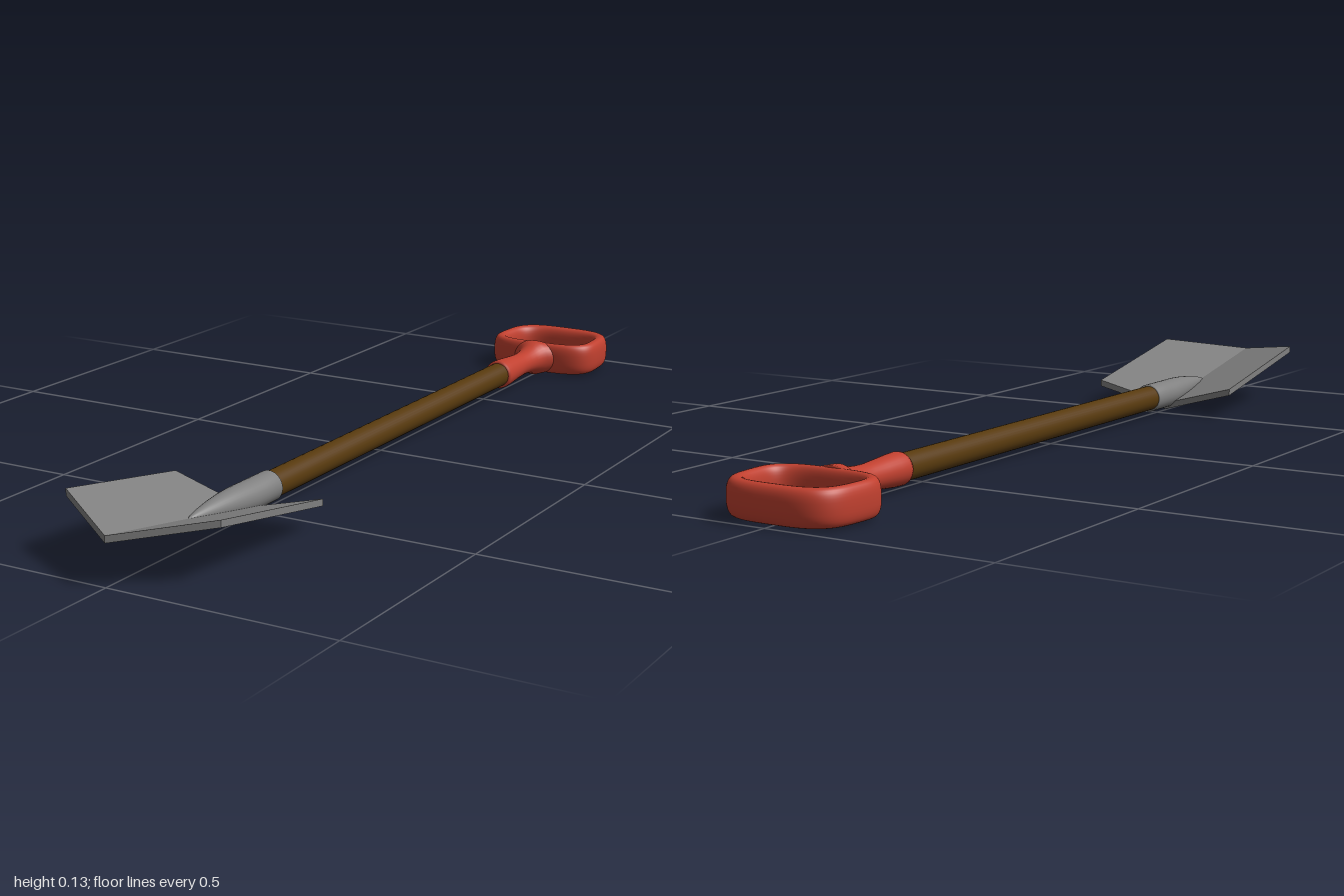
import * as THREE from 'three';
import { ParametricGeometry } from 'three/addons/geometries/ParametricGeometry.js';

const AXIS_X = -0.003, AXIS_Y = 0.045; // centre line of shaft and handle

const mat = (color, extra = {}) => new THREE.MeshStandardMaterial({ color, ...extra });

// Solid of revolution about z from [radius, z] pairs
function turned(points, segments = 32) {
  const geo = new THREE.LatheGeometry(points.map(([r, z]) => new THREE.Vector2(r, z)), segments);
  return geo.rotateX(Math.PI / 2);
}

// Move every vertex of a geometry by a rule
function reshape(geo, rule) {
  const pos = geo.attributes.position;
  const p = new THREE.Vector3();
  for (let i = 0; i < pos.count; i++) {
    p.fromBufferAttribute(pos, i);
    rule(p);
    pos.setXYZ(i, p.x, p.y, p.z);
  }
  geo.computeVertexNormals();
  return geo;
}

// Rounded power used for superellipse outlines
const soft = (c, p) => Math.sign(c) * Math.pow(Math.abs(c), p);

export function createModel() {
  const model = new THREE.Group();
  model.name = 'shovel';

  const steel = mat(0x808080);
  const red = mat(0xc0402f);

  function add(parent, name, geometry, material, x = AXIS_X, y = AXIS_Y, z = 0) {
    const mesh = new THREE.Mesh(geometry, material);
    mesh.name = name;
    mesh.position.set(x, y, z);
    parent.add(mesh);
    return mesh;
  }

  // Blade: a box folded along its middle, pointed in front, rising forward
  const bladeGeo = reshape(new THREE.BoxGeometry(0.354, 0.015, 0.36, 2, 1, 1), (p) => {
    const middle = Math.abs(p.x) < 0.01;
    if (p.z > 0) p.z = middle ? 0.295 : 0.18;
    else p.z = middle ? -0.173 : -0.18;
    p.y += 0.176 * p.z + 0.27 * Math.abs(p.x);
  });
  const blade = add(model, 'blade', bladeGeo, mat(0x808080, { flatShading: true }), -0.003, 0.045, 0.705);
  blade.rotation.set(0, 0.014, -0.012);

  // Socket: a sleeve running out to a point on the blade
  const socketGeo = reshape(turned([
    [0.028, 0.45], [0.033, 0.45], [0.033, 0.5], [0.033, 0.54], [0.031, 0.58],
    [0.027, 0.62], [0.021, 0.66], [0.013, 0.7], [0.006, 0.725], [0, 0.737],
  ]), (p) => {
    if (p.z > 0.54) p.y += 0.055 * (p.z - 0.54);
  });
  add(model, 'socket', socketGeo, steel);

  // Wooden shaft
  const shaftGeo = new THREE.CylinderGeometry(0.029, 0.029, 1.09, 32).rotateX(Math.PI / 2);
  add(model, 'shaft', shaftGeo, mat(0x583a0e), AXIS_X, AXIS_Y, -0.065);

  const handle = new THREE.Group();
  handle.name = 'handle';
  model.add(handle);

  // Neck: a sleeve that flares sideways into the grip
  const neckGeo = reshape(turned([
    [0, -0.803], [0.04, -0.803], [0.066, -0.799], [0.056, -0.789], [0.044, -0.778],
    [0.036, -0.765], [0.031, -0.745], [0.028, -0.72], [0.028, -0.69],
    [0.031, -0.65], [0.034, -0.615], [0.035, -0.59], [0.034, -0.583], [0.028, -0.583],
  ]), (p) => {
    const r = Math.hypot(p.x, p.y);
    if (r > 0.042) p.y *= 0.042 / r;
  });
  add(handle, 'handleNeck', neckGeo, red);

  // Grip: a closed ring between a rounded outer and inner outline
  const gripGeo = new ParametricGeometry((u, v, target) => {
    const a = u * Math.PI * 2, b = v * Math.PI * 2;
    const c = soft(Math.cos(a), 0.6), s = soft(Math.sin(a), 0.6);
    const taper = 1 + 0.05 * s;
    const outX = 0.139 * c * taper, outZ = -0.893 + 0.106 * s;
    const inX = 0.105 * c * taper, inZ = -0.888 + 0.0725 * s;
    const t = 0.5 + 0.5 * soft(Math.cos(b), 0.75);
    target.set(
      inX + (outX - inX) * t,
      -0.038 * soft(Math.sin(b), 0.75),
      inZ + (outZ - inZ) * t,
    );
  }, 96, 32);
  add(handle, 'grip', gripGeo, red);

  return model;
}
